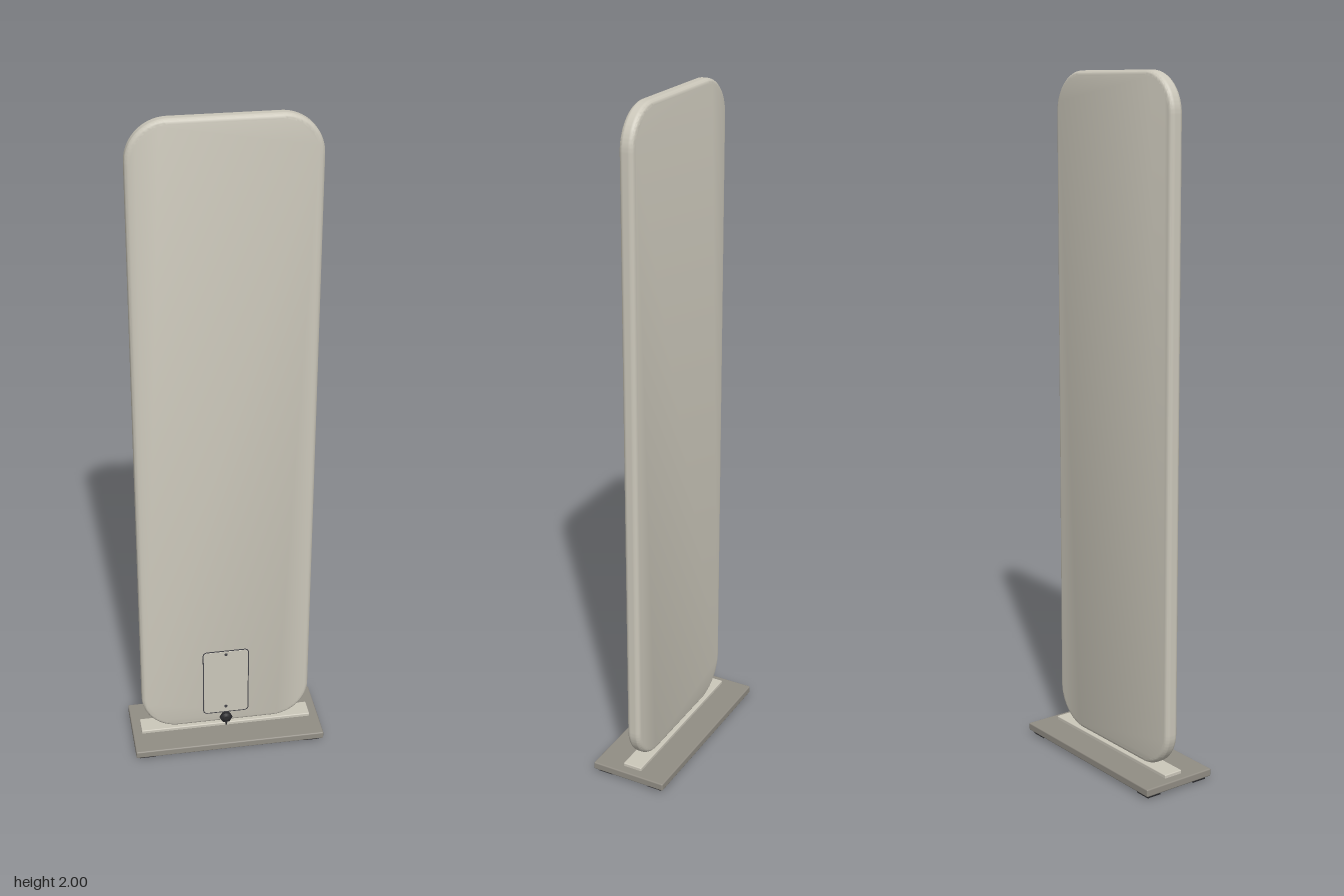
import * as THREE from 'three';
import { toCreasedNormals } from 'three/addons/utils/BufferGeometryUtils.js';
import { RoundedBoxGeometry } from 'three/addons/geometries/RoundedBoxGeometry.js';

const material = (name, color) => Object.assign(new THREE.MeshStandardMaterial({ color }), { name });

// Rounded rectangle outline centred on the origin
function roundedRect(w, h, r, Type = THREE.Shape) {
  const x = w / 2, y = h / 2, s = new Type();
  s.moveTo(x, y - r);
  s.absarc(x - r, y - r, r, 0, Math.PI / 2);
  s.absarc(-x + r, y - r, r, Math.PI / 2, Math.PI);
  s.absarc(-x + r, -y + r, r, Math.PI, Math.PI * 1.5);
  s.absarc(x - r, -y + r, r, Math.PI * 1.5, Math.PI * 2);
  return s;
}

// Slab of given outline with rounded rims, centred in z
function slab(w, h, r, depth, bevel, segments = 5) {
  const geo = new THREE.ExtrudeGeometry(roundedRect(w - 2 * bevel, h - 2 * bevel, r - bevel), {
    depth: depth - 2 * bevel, bevelThickness: bevel, bevelSize: bevel,
    bevelSegments: segments, curveSegments: 16,
  });
  geo.translate(0, 0, -depth / 2 + bevel);
  return toCreasedNormals(geo, 0.6);
}

export function createModel() {
  const model = new THREE.Group();
  model.name = 'floorPanelStand';

  const cream = material('warm cream', 0xcbc7ba);
  const taupe = material('taupe base', 0x918d84);
  const dark = material('dark seam', 0x45454a);
  const black = material('black rubber', 0x2a2a2d);

  const add = (name, geo, mat, x, y, z, parent = model) => {
    const mesh = new THREE.Mesh(geo, mat);
    mesh.name = name;
    mesh.position.set(x, y, z);
    parent.add(mesh);
    return mesh;
  };

  // Base plate, plinth and rubber feet
  add('basePlate', new RoundedBoxGeometry(0.59, 0.023, 0.234, 2, 0.004), taupe, 0, 0.0215, 0);
  add('plinth', new RoundedBoxGeometry(0.535, 0.014, 0.06, 2, 0.003), cream, 0, 0.036, 0);
  for (const sx of [-1, 1]) for (const sz of [-1, 1]) {
    add('foot', new THREE.BoxGeometry(0.05, 0.011, 0.045), black, sx * 0.258, 0.0055, sz * 0.083);
  }

  // Tall rounded panel
  add('panel', slab(0.524, 1.96, 0.115, 0.042, 0.014), cream, 0, 1.02, 0);

  // Service hatch: thin dark seam around a flush cover, with two screws
  const hatch = new THREE.Group();
  hatch.name = 'serviceHatch';
  hatch.position.set(0, 0.198, 0.021);
  model.add(hatch);
  const seam = roundedRect(0.144, 0.24, 0.014);
  seam.holes.push(roundedRect(0.138, 0.234, 0.011, THREE.Path));
  add('hatchSeam', new THREE.ExtrudeGeometry(seam, { depth: 0.001, bevelEnabled: false }), dark, 0, 0, 0, hatch);
  add('hatchCover', slab(0.138, 0.234, 0.011, 0.003, 0.0005, 1), cream, 0, 0, 0, hatch);
  for (const y of [-0.096, 0.106]) {
    const screw = add('hatchScrew', new THREE.CylinderGeometry(0.005, 0.005, 0.002, 16), dark, 0, y, 0.0015, hatch);
    screw.rotation.x = Math.PI / 2;
  }

  // Cable gland: hexagonal nut, tapered cap and short cable into the base
  const gland = new THREE.Group();
  gland.name = 'cableGland';
  gland.position.set(0, 0.06, 0.02);
  model.add(gland);
  add('glandNut', toCreasedNormals(new THREE.CylinderGeometry(0.02, 0.02, 0.008, 6), 0.5), black, 0, 0, 0.004, gland)
    .rotation.set(Math.PI / 2, Math.PI / 6, 0);
  add('glandCap', new THREE.CylinderGeometry(0.008, 0.016, 0.005, 20), black, 0, 0, 0.0105, gland)
    .rotation.x = Math.PI / 2;
  add('cable', new THREE.CylinderGeometry(0.005, 0.005, 0.03, 12), black, 0, -0.015, 0.006, gland);

  return model;
}
